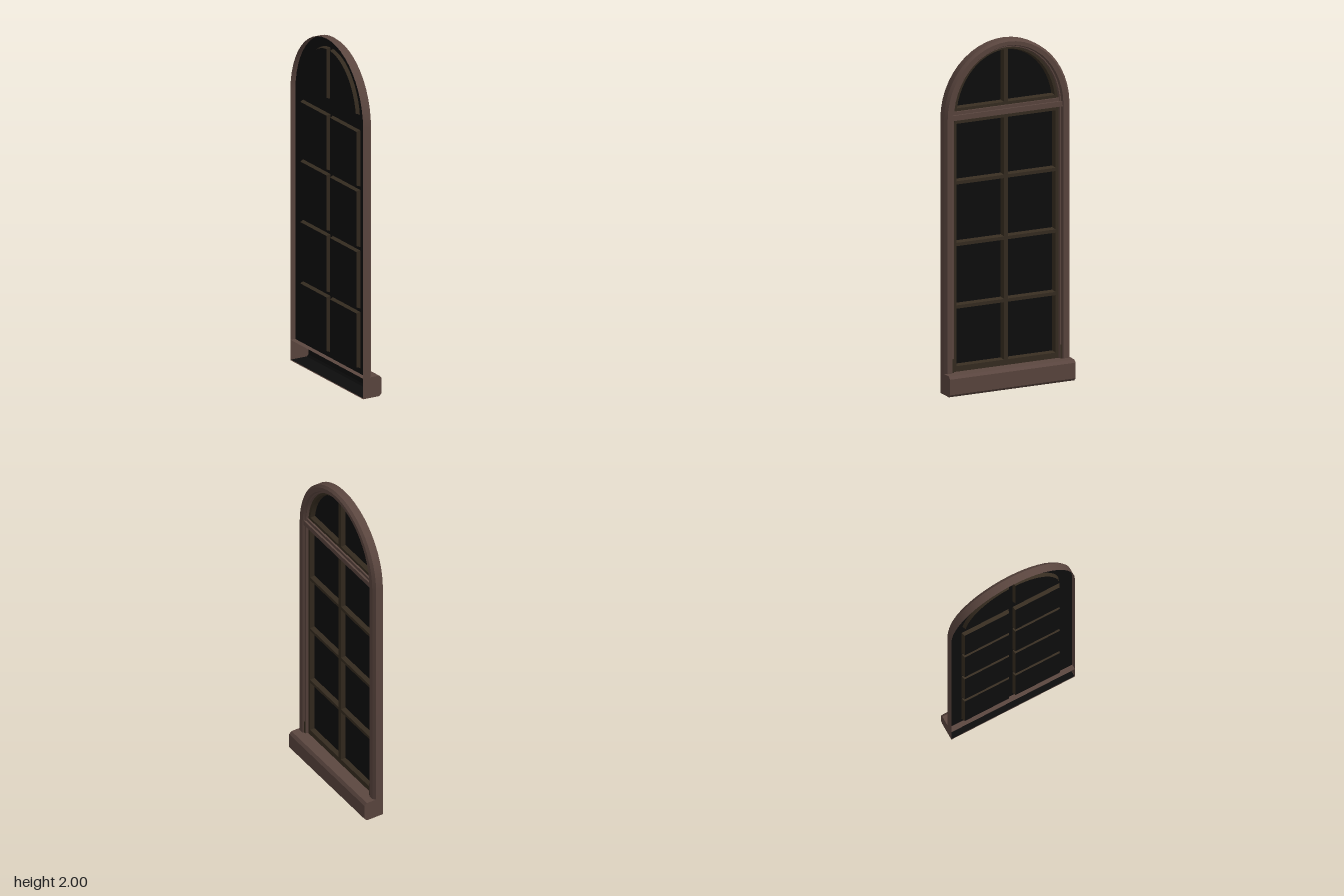
import * as THREE from 'three';
import { toCreasedNormals } from 'three/addons/utils/BufferGeometryUtils.js';

const SPRING = 1.58, SILL = 0.12, HALF = 0.39;
const SASH_W = -0.025, GLASS_W = -0.05;

// Arched window outline, inset by d from the outside edge
function outline(d) {
  const h = HALF - d, ry = 0.42 - 0.75 * d, pts = [[h, SILL]];
  for (let i = 0; i <= 24; i++) {
    const a = (i / 24) * Math.PI;
    pts.push([h * Math.cos(a), SPRING + ry * Math.sin(a)]);
  }
  pts.push([-h, SILL]);
  return pts;
}

// Rectangular pane outline, grown by g, on side s
function rectPane(s, y0, y1, g) {
  const a = 0.02 - g, b = 0.3 + g;
  return [[a * s, y0 - g], [b * s, y0 - g], [b * s, y1 + g], [a * s, y1 + g]];
}

// Quarter-arch pane outline, grown by g, on side s
function archPane(s, g) {
  const u0 = 0.02 - g, base = 1.645 - g, rx = 0.3 + g, ry = 0.3525 + g;
  const a0 = Math.asin((base - SPRING) / ry), a1 = Math.acos(u0 / rx);
  const pts = [[u0 * s, base]];
  for (let i = 0; i <= 12; i++) {
    const a = a0 + ((a1 - a0) * i) / 12;
    pts.push([rx * Math.cos(a) * s, SPRING + ry * Math.sin(a)]);
  }
  return pts;
}

// Strip of faces joining ring A at depth wa to ring B at depth wb
function ribbon(A, wa, B, wb, closed = true) {
  const n = A.length, pos = [], idx = [];
  for (let i = 0; i < n; i++) pos.push(A[i][0], A[i][1], wa, B[i][0], B[i][1], wb);
  for (let i = 0; i < (closed ? n : n - 1); i++) {
    const a = 2 * i, b = 2 * ((i + 1) % n);
    idx.push(a, b, b + 1, a, b + 1, a + 1);
  }
  const g = new THREE.BufferGeometry();
  g.setAttribute('position', new THREE.Float32BufferAttribute(pos, 3));
  g.setIndex(idx);
  return toCreasedNormals(g, 0.5);
}

// Flat sheet with holes at depth w
function sheet(pts, w, holes = []) {
  const vec = (p) => p.map(([x, y]) => new THREE.Vector2(x, y));
  const shape = new THREE.Shape(vec(pts));
  for (const h of holes) shape.holes.push(new THREE.Path(vec(h)));
  return new THREE.ShapeGeometry(shape).translate(0, 0, w);
}

export function createModel() {
  const mat = (name, color) =>
    new THREE.MeshStandardMaterial({ name, color, side: THREE.DoubleSide });
  const frameBrown = mat('frame brown', 0x5c4740);
  const sashBrown = mat('sash brown', 0x372d21);
  const glassBlack = mat('glass black', 0x0d0d0d);

  const model = new THREE.Group();
  model.name = 'archedWindow';
  const win = new THREE.Group();
  win.name = 'window';
  win.rotation.y = Math.PI / 2; // window looks toward +x
  model.add(win);

  const add = (parent, name, geo, material) => {
    const m = new THREE.Mesh(geo, material);
    m.name = name;
    parent.add(m);
    return m;
  };
  const box = (name, w, h, d, x, y, z, material) =>
    add(win, name, new THREE.BoxGeometry(w, h, d).translate(x, y, z), material);

  // Moulded outer frame: [inset, depth] steps from the wall to the sash
  const steps = [[0, -0.06], [0, -0.015], [0.015, 0], [0.045, 0],
    [0.053, -0.012], [0.06, -0.012], [0.065, SASH_W]];
  for (let i = 0; i + 1 < steps.length; i++) {
    const [d0, w0] = steps[i], [d1, w1] = steps[i + 1];
    add(win, 'frameMoulding', ribbon(outline(d0), w0, outline(d1), w1, i === 0), frameBrown);
  }

  // Glass panes and the bevelled walls around them
  const rows = [[0.16, 0.475], [0.51, 0.835], [0.87, 1.19], [1.225, 1.54]];
  const panes = [];
  for (const s of [1, -1]) {
    for (const [y0, y1] of rows) panes.push((g) => rectPane(s, y0, y1, g));
    panes.push((g) => archPane(s, g));
  }
  const mouths = panes.map((p) => p(0.008));
  panes.forEach((p, i) => {
    add(win, 'glassPane', sheet(p(0), GLASS_W), glassBlack);
    add(win, 'paneBevel', ribbon(p(0), GLASS_W, mouths[i], SASH_W), sashBrown);
  });

  // Sash face with glazing bars, and the dark sheet behind it
  add(win, 'sash', sheet(outline(0.063), SASH_W, mouths), sashBrown);
  add(win, 'backing', sheet(outline(0.003), SASH_W - 0.004, mouths), glassBlack);

  // Transom between the lower lights and the arch
  box('transom', 0.69, 0.03, 0.021, 0, 1.587, -0.0145, frameBrown);
  box('transomStep', 0.67, 0.018, 0.01, 0, 1.611, -0.02, frameBrown);
  box('transomLip', 0.65, 0.012, 0.01, 0, 1.566, -0.02, sashBrown);

  // Small stops at the foot of the jambs
  for (const s of [1, -1])
    box('jambStop', 0.012, 0.08, 0.018, s * 0.338, SILL + 0.04, -0.016, sashBrown);

  // Chamfered sill, open at the back
  const sill = new THREE.Group();
  sill.name = 'sill';
  model.add(sill);
  const profile = [[-0.06, 0], [0.045, 0], [0.06, 0.015], [0.06, 0.105], [0.045, SILL], [-0.06, SILL]];
  add(sill, 'sillBody', ribbon(profile, HALF, profile, -HALF, false).toNonIndexed?.() ??
    ribbon(profile, HALF, profile, -HALF, false), frameBrown);
  for (const s of [1, -1]) add(sill, 'sillEnd', sheet(profile, s * HALF), frameBrown);
  const lining = [[-0.058, 0.004], [0.045, 0.004], [0.056, 0.015], [0.056, 0.105]];
  add(sill, 'sillLining', ribbon(lining, 0.388, lining, -0.388, false), glassBlack);

  return model;
}
